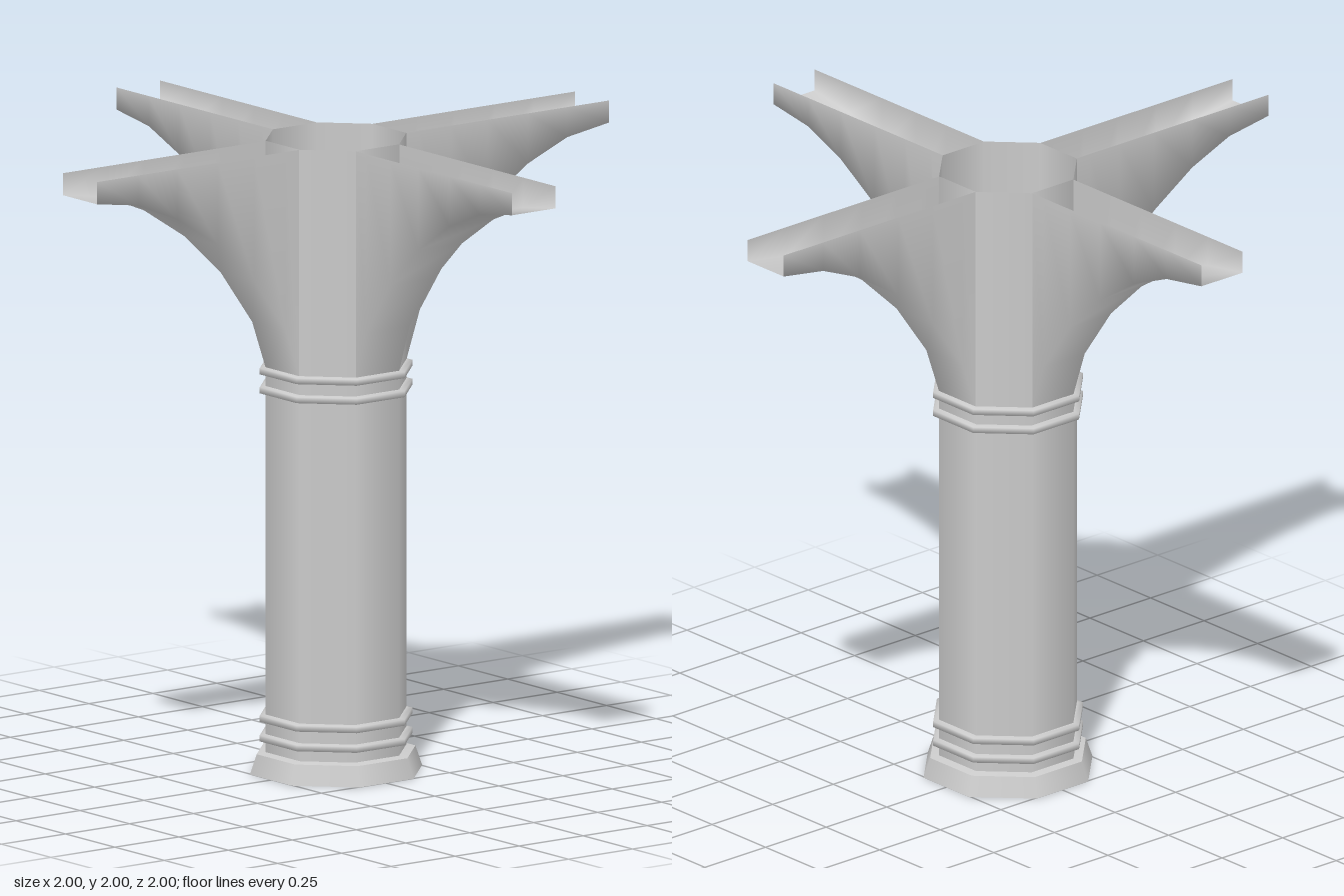
import * as THREE from 'three';

const material = new THREE.MeshStandardMaterial({ color: 0xcccccc, side: THREE.DoubleSide });

// Open octagonal tube with flats facing the axes; profile is [flat distance, y]
function octagon(name, profile) {
  const points = profile.map(([r, y]) => new THREE.Vector2(r / Math.cos(Math.PI / 8), y));
  const mesh = new THREE.Mesh(new THREE.LatheGeometry(points, 8, Math.PI / 8), material);
  mesh.name = name;
  return mesh;
}

// Open-topped channel: U sections swept outward along a curved floor
function bracketGeometry() {
  const floor = [[0.21, 1.285], [0.262, 1.435], [0.385, 1.607], [0.527, 1.74],
    [0.685, 1.842], [0.837, 1.905], [1, 1.93]];
  const w = 0.085, top = 2;
  const positions = [], index = [];
  floor.forEach(([x, y], i) => {
    positions.push(x, top, -w, x, y, -w, x, y, w, x, top, w);
    if (i === floor.length - 1) return;
    for (let j = 0; j < 3; j++) {
      const p = i * 4 + j;
      index.push(p, p + 4, p + 1, p + 1, p + 4, p + 5);
    }
  });
  const geometry = new THREE.BufferGeometry();
  geometry.setAttribute('position', new THREE.Float32BufferAttribute(positions, 3));
  geometry.setIndex(index);
  geometry.computeVertexNormals();
  return geometry;
}

export function createModel() {
  const model = new THREE.Group();
  model.name = 'column';

  // Hollow shaft and flared foot
  model.add(octagon('shaft', [[0.208, 0.065], [0.208, 2]]));
  model.add(octagon('foot', [[0.255, 0], [0.235, 0.063]]));
  model.add(octagon('footTop', [[0.235, 0.063], [0.208, 0.068]]));

  // Two pairs of moulding rings
  for (const y of [0.1, 0.162, 1.2, 1.26]) {
    model.add(octagon('ring', [[0.208, y], [0.226, y + 0.003], [0.226, y + 0.022], [0.208, y + 0.025]]));
  }

  // Four curved brackets around the top
  const geometry = bracketGeometry();
  for (let i = 0; i < 4; i++) {
    const bracket = new THREE.Mesh(geometry, material);
    bracket.name = 'bracket';
    bracket.rotation.y = i * Math.PI / 2;
    model.add(bracket);
  }
  return model;
}
